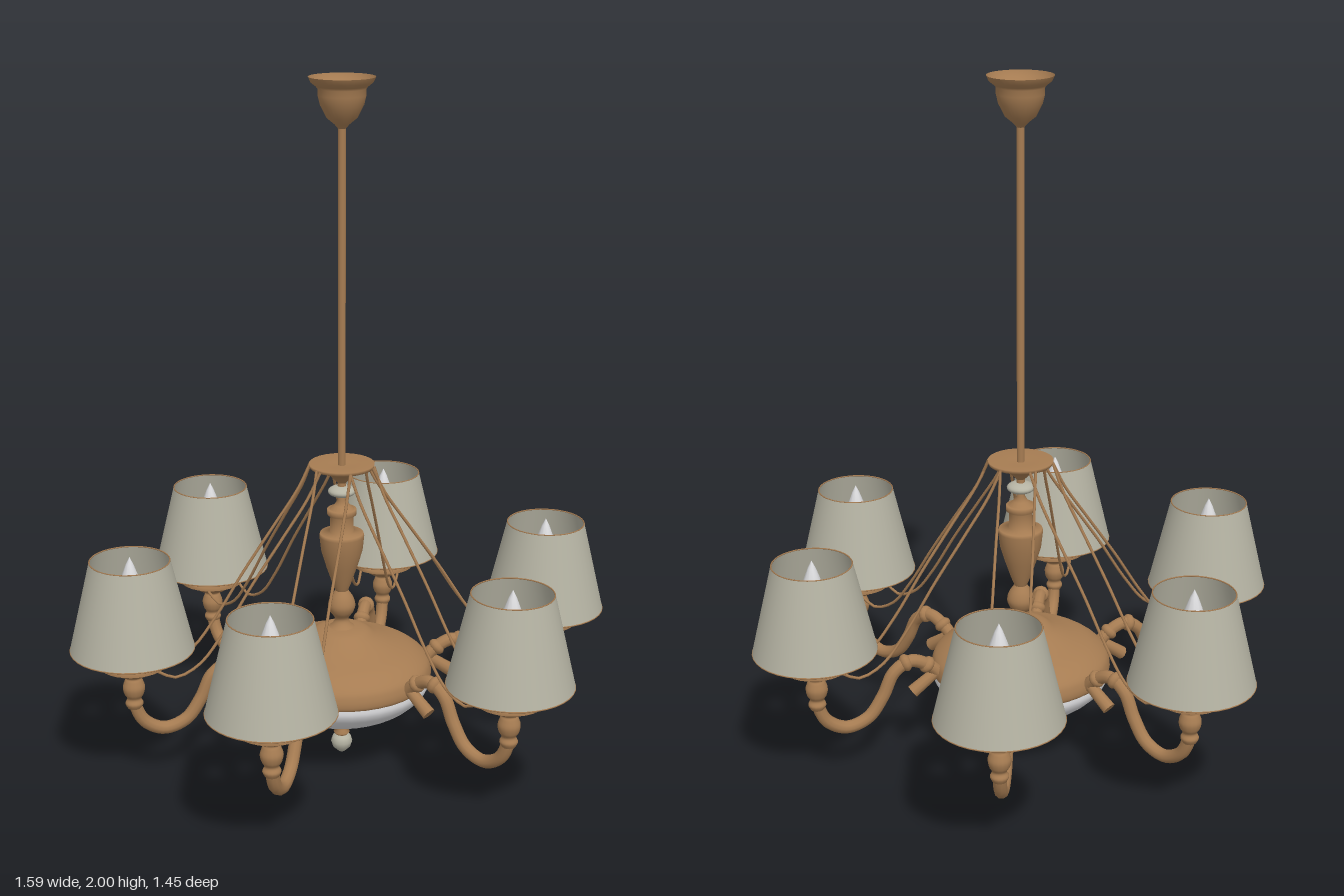
import * as THREE from 'three';

const brass = new THREE.MeshStandardMaterial({ color: 0xa67c52, side: THREE.DoubleSide });
brass.name = 'antique brass';
const fabric = new THREE.MeshStandardMaterial({ color: 0xb5b3a3, side: THREE.DoubleSide });
fabric.name = 'shade fabric';
const glass = new THREE.MeshStandardMaterial({ color: 0xdcdcde, side: THREE.DoubleSide });
glass.name = 'white glass';

function add(parent, name, geometry, material) {
  const mesh = new THREE.Mesh(geometry, material);
  mesh.name = name;
  parent.add(mesh);
  return mesh;
}

// Turned part from [radius, height] pairs, listed bottom to top; smooth ones follow a spline
function turned(pairs, segments = 32, smooth = false) {
  let pts = pairs.map(([r, y]) => new THREE.Vector2(r, y));
  if (smooth) {
    pts = new THREE.SplineCurve(pts).getPoints(pairs.length * 4);
    pts.forEach((p) => { p.x = Math.max(p.x, 0); });
  }
  return new THREE.LatheGeometry(pts, segments);
}

function tube(points, radius, steps, sides) {
  const curve = new THREE.CatmullRomCurve3(points.map(([x, y, z = 0]) => new THREE.Vector3(x, y, z)));
  return new THREE.TubeGeometry(curve, steps, radius, sides);
}

// One arm along +x with its cup, candle, bulb, shade and two swags
function createArm() {
  const arm = new THREE.Group();
  const R = 0.62;
  add(arm, 'curvedArm', tube([
    [0.24, 0.265], [0.285, 0.31], [0.34, 0.333], [0.39, 0.305], [0.425, 0.235],
    [0.47, 0.175], [0.535, 0.155], [0.592, 0.185], [0.618, 0.24], [R, 0.29],
  ], 0.019, 48, 10), brass);

  // Tail scroll and collars near the body
  const tail = add(arm, 'armTail', new THREE.CylinderGeometry(0.016, 0.02, 0.1, 10), brass);
  tail.position.set(0.295, 0.262, 0);
  tail.rotation.z = 0.95;
  for (const [x, y, turn] of [[0.29, 0.313, -0.85], [0.355, 0.33, -1.85]]) {
    const collar = add(arm, 'armCollar', new THREE.SphereGeometry(0.026, 12, 8), brass);
    collar.position.set(x, y, 0);
    collar.rotation.z = turn;
    collar.scale.y = 0.7;
  }

  const lamp = new THREE.Group();
  lamp.name = 'lamp';
  lamp.position.x = R;
  arm.add(lamp);
  add(lamp, 'cup', turned([
    [0.019, 0.23], [0.026, 0.245], [0.02, 0.26], [0.028, 0.275], [0.032, 0.295],
    [0.026, 0.315], [0.022, 0.325], [0.03, 0.335],
  ], 16, true), brass);
  add(lamp, 'dripPan', turned([
    [0.02, 0.33], [0.045, 0.338], [0.06, 0.352], [0.097, 0.366], [0.06, 0.36], [0, 0.356],
  ], 28), brass);
  add(lamp, 'candle', turned([[0.027, 0.355], [0.027, 0.55], [0, 0.55]], 16), brass);
  add(lamp, 'bulb', turned([
    [0.016, 0.55], [0.03, 0.575], [0.032, 0.6], [0.024, 0.635], [0.011, 0.67], [0, 0.692],
  ], 10), glass);

  // Open shade with thin rims and a wire support
  add(lamp, 'shade', new THREE.CylinderGeometry(0.114, 0.177, 0.265, 36, 1, true), fabric).position.y = 0.5475;
  for (const [r, y] of [[0.113, 0.68], [0.176, 0.416]]) {
    const rim = add(lamp, 'shadeRim', new THREE.TorusGeometry(r, 0.002, 5, 36), brass);
    rim.rotation.x = Math.PI / 2;
    rim.position.y = y;
  }

  // Pair of hanging swags from the crown to the drip pan
  for (const side of [-1, 1]) {
    add(arm, 'swag', tube([
      [0.078, 0.905, side * 0.05], [0.115, 0.83, side * 0.05], [0.19, 0.72, side * 0.052],
      [0.28, 0.59, side * 0.053], [0.37, 0.45, side * 0.055], [0.44, 0.365, side * 0.056],
      [0.51, 0.335, side * 0.058], [0.56, 0.36, side * 0.06],
    ], 0.0045, 28, 5), brass);
  }
  return arm;
}

export function createModel() {
  const model = new THREE.Group();
  model.name = 'chandelier';
  const lamp = new THREE.Group();
  lamp.name = 'fixture';
  lamp.position.z = -0.01;
  model.add(lamp);

  // Ceiling canopy, hollow from above, and the rod
  add(lamp, 'canopy', turned([
    [0.01, 1.86], [0.02, 1.872], [0.042, 1.89], [0.06, 1.925], [0.066, 1.95],
    [0.066, 1.968], [0.072, 1.975], [0.085, 1.985], [0.092, 2],
  ], 32), brass);
  const rod = add(lamp, 'rod', new THREE.CylinderGeometry(0.011, 0.011, 1.0, 12), brass);
  rod.position.y = 1.38;

  // Crown that carries the swags
  add(lamp, 'crown', turned([
    [0.01, 0.85], [0.022, 0.862], [0.04, 0.88], [0.092, 0.9], [0.094, 0.91], [0.03, 0.905], [0, 0.905],
  ], 28), brass);
  const bead = add(lamp, 'glassBead', new THREE.SphereGeometry(0.04, 20, 12), fabric);
  bead.scale.y = 0.42;
  bead.position.y = 0.826;

  // Turned column
  add(lamp, 'neck', turned([[0.04, 0.77], [0.022, 0.785], [0.012, 0.8], [0.012, 0.86]], 16), brass);
  add(lamp, 'vase', turned([
    [0.018, 0.52], [0.028, 0.545], [0.045, 0.595], [0.06, 0.645], [0.065, 0.69], [0.063, 0.7],
    [0.035, 0.703], [0.033, 0.75], [0.042, 0.756], [0.042, 0.773], [0, 0.775],
  ], 24), brass);
  add(lamp, 'columnBall', turned([
    [0.06, 0.395], [0.032, 0.412], [0.02, 0.433], [0.034, 0.455], [0.04, 0.476],
    [0.033, 0.5], [0.018, 0.522],
  ], 24, true), brass);

  // Body: brass dome above a glass bowl
  add(lamp, 'dome', turned([
    [0.255, 0.25], [0.263, 0.262], [0.262, 0.285], [0.25, 0.31], [0.21, 0.338], [0.15, 0.36],
    [0.105, 0.38], [0.07, 0.402], [0.02, 0.41],
  ], 40, true), brass);
  add(lamp, 'bowl', turned([
    [0, 0.115], [0.06, 0.12], [0.13, 0.14], [0.2, 0.174], [0.24, 0.207], [0.258, 0.235], [0.259, 0.258],
  ], 40, true), glass);

  // Bottom finial
  add(lamp, 'finialStem', turned([
    [0.018, 0.06], [0.024, 0.068], [0.014, 0.075], [0.014, 0.095], [0.026, 0.104], [0.036, 0.12],
  ], 18), brass);
  add(lamp, 'finialBall', turned([
    [0, 0], [0.01, 0.005], [0.026, 0.02], [0.032, 0.038], [0.027, 0.054], [0.014, 0.064],
  ], 18), fabric);

  // Six arms, slightly unevenly spread
  [5, 60.5, 125, 179, 244, 300].forEach((degrees) => {
    const arm = createArm();
    arm.name = 'arm';
    arm.rotation.y = THREE.MathUtils.degToRad(degrees);
    lamp.add(arm);
  });
  return model;
}
